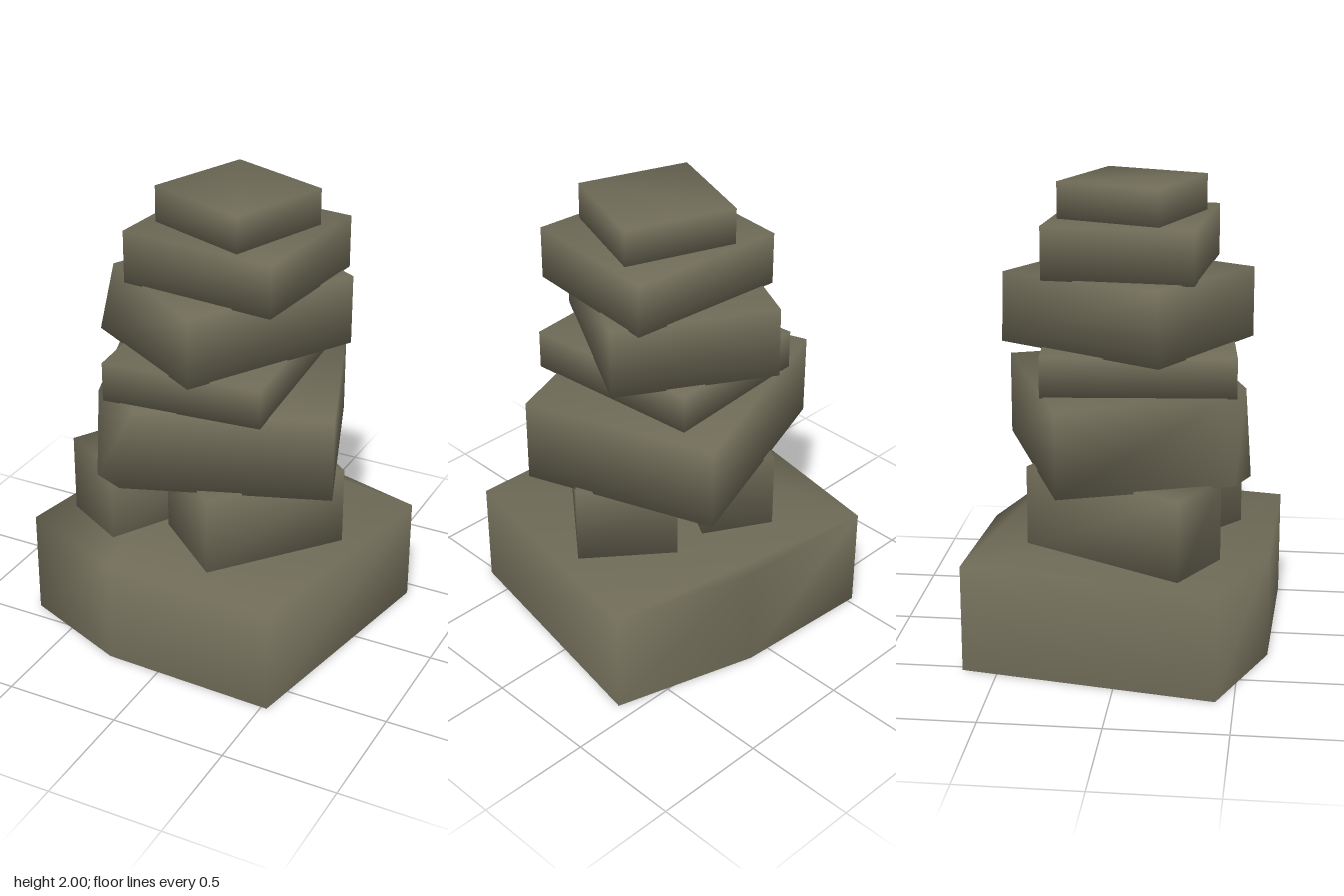
import * as THREE from 'three';

const stone = new THREE.MeshStandardMaterial({ color: 0x6e6a57, side: THREE.DoubleSide });
stone.name = 'stone';

// Smooth-shaded slab between two rings of [x, z] corners
function slab(name, y0, y1, low, high = low, closed = true) {
  const n = low.length;
  const pos = [];
  const index = [];
  low.forEach(([x, z]) => pos.push(x, y0, z));
  high.forEach(([x, z]) => pos.push(x, y1, z));
  for (let i = 0; i < n; i++) {
    const j = (i + 1) % n;
    index.push(j, i, n + i, j, n + i, n + j);
  }
  for (let k = 1; k < n - 1; k++) {
    index.push(n, n + k + 1, n + k);
    if (closed) index.push(0, k, k + 1);
  }
  const geo = new THREE.BufferGeometry();
  geo.setAttribute('position', new THREE.Float32BufferAttribute(pos, 3));
  geo.setIndex(index);
  geo.computeVertexNormals();
  const mesh = new THREE.Mesh(geo, stone);
  mesh.name = name;
  return mesh;
}

export function createModel() {
  const group = new THREE.Group();
  group.name = 'stackedStones';
  group.add(
    // wide foundation, hollow underneath
    slab('baseStone', 0, 0.465,
      [[-0.53, -0.65], [0.1, -0.61], [0.72, -0.43], [0.525, 0.647], [-0.24, 0.62], [-0.72, 0.425]],
      undefined, false),
    // two supports, sunk slightly into the foundation
    slab('narrowSupportStone', 0.445, 0.81,
      [[-0.61, 0.26], [-0.225, -0.415], [0.055, -0.26], [-0.33, 0.416]]),
    slab('wideSupportStone', 0.455, 0.81,
      [[-0.17, 0.21], [0.225, -0.28], [0.56, -0.015], [0.16, 0.48]]),
    // big slab with one chipped, leaning corner
    slab('chippedStone', 0.8, 1.163,
      [[-0.61, -0.235], [0.315, -0.57], [0.61, 0.225], [-0.22, 0.533], [-0.36, 0.475]],
      [[-0.61, -0.235], [0.315, -0.57], [0.61, 0.225], [-0.16, 0.505], [-0.38, 0.41]]),
    slab('thinStone', 1.16, 1.33,
      [[-0.39, -0.33], [0.295, -0.385], [0.367, 0.41], [-0.32, 0.475]]),
    // slab with its left corner leaning in
    slab('leaningStone', 1.325, 1.625,
      [[-0.505, 0.17], [-0.105, -0.53], [0.5, -0.18], [0.1, 0.52]],
      [[-0.445, 0.15], [-0.11, -0.52], [0.5, -0.18], [0.1, 0.52]]),
    slab('upperStone', 1.62, 1.845,
      [[-0.255, -0.34], [0.44, -0.28], [0.38, 0.355], [-0.31, 0.295]]),
    slab('topStone', 1.84, 2,
      [[-0.08, -0.295], [0.37, -0.13], [0.21, 0.31], [-0.243, 0.145]])
  );
  return group;
}
